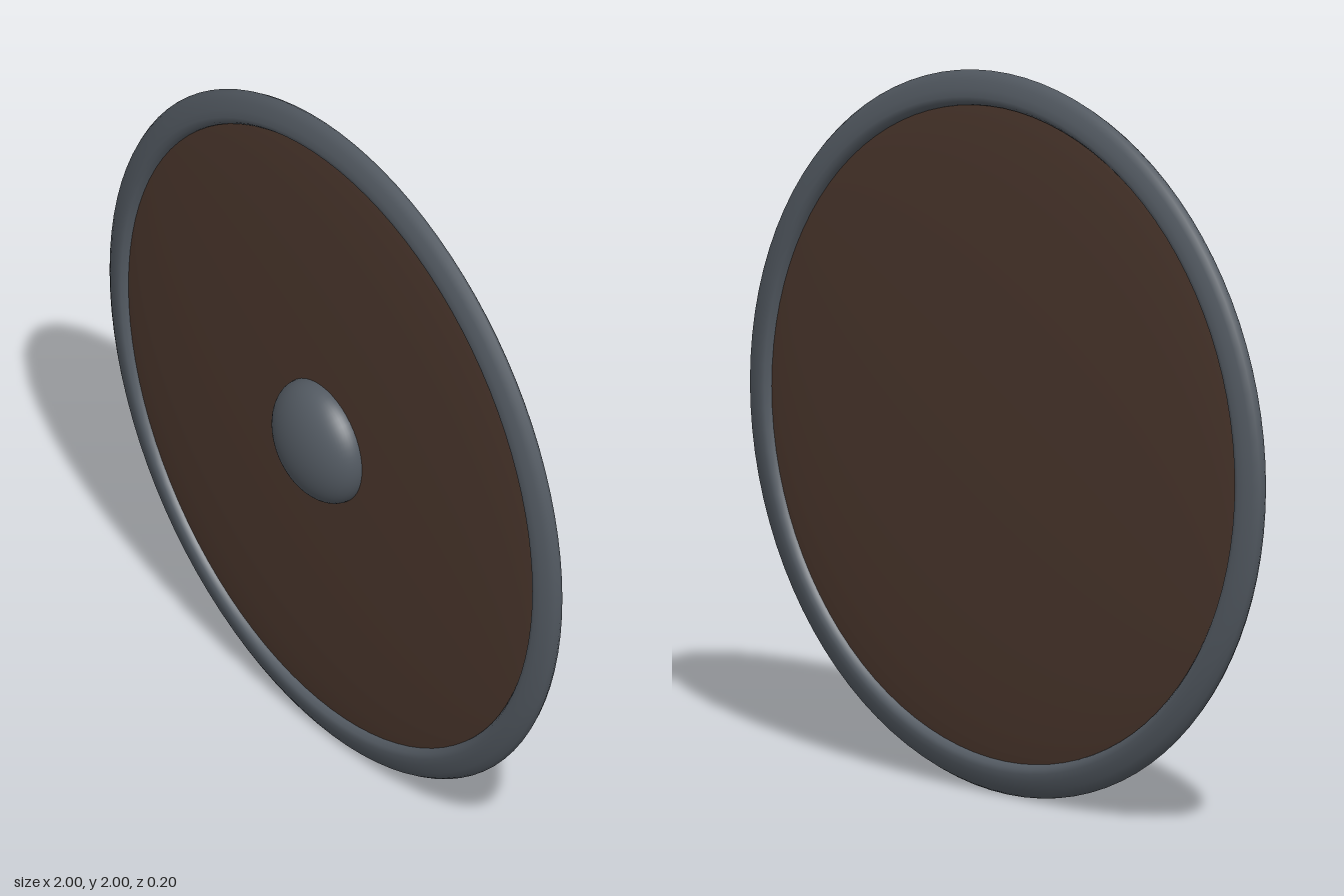
import * as THREE from 'three';

export function createModel() {
  const model = new THREE.Group();
  model.name = 'roundShield';

  const wood = new THREE.MeshStandardMaterial({ color: 0x4a362c });
  wood.name = 'dark brown wood';
  const iron = new THREE.MeshStandardMaterial({ color: 0x535a62 });
  iron.name = 'dark grey iron';

  const add = (name, geometry, material, z) => {
    const mesh = new THREE.Mesh(geometry, material);
    mesh.name = name;
    mesh.position.set(0, 1, z);
    model.add(mesh);
  };

  // Lens-shaped board, domed on both faces
  const board = new THREE.SphereGeometry(0.95, 96, 48);
  board.rotateX(Math.PI / 2).scale(1, 1, 0.05 / 0.95);
  add('board', board, wood, -0.05);

  // Metal rim: a tapered band with a rounded outer edge, closed around the board
  const half = [
    [1, 0], [0.993, 0.012], [0.975, 0.023], [0.95, 0.031],
    [0.93, 0.035], [0.916, 0.032], [0.907, 0.021], [0.9, 0],
  ];
  const profile = [
    ...half.slice(1).reverse().map(([r, h]) => new THREE.Vector2(r, -h)),
    ...half.map(([r, h]) => new THREE.Vector2(r, h)),
  ];
  const rim = new THREE.LatheGeometry(profile, 96).rotateX(Math.PI / 2);
  add('rim', rim, iron, -0.05);

  // Domed boss in the middle of the front face
  const boss = new THREE.SphereGeometry(0.18, 48, 24, 0, Math.PI * 2, 0, Math.PI * 0.6);
  boss.rotateX(Math.PI / 2).scale(1, 1, 0.1 / 0.18);
  add('boss', boss, iron, 0);

  return model;
}
